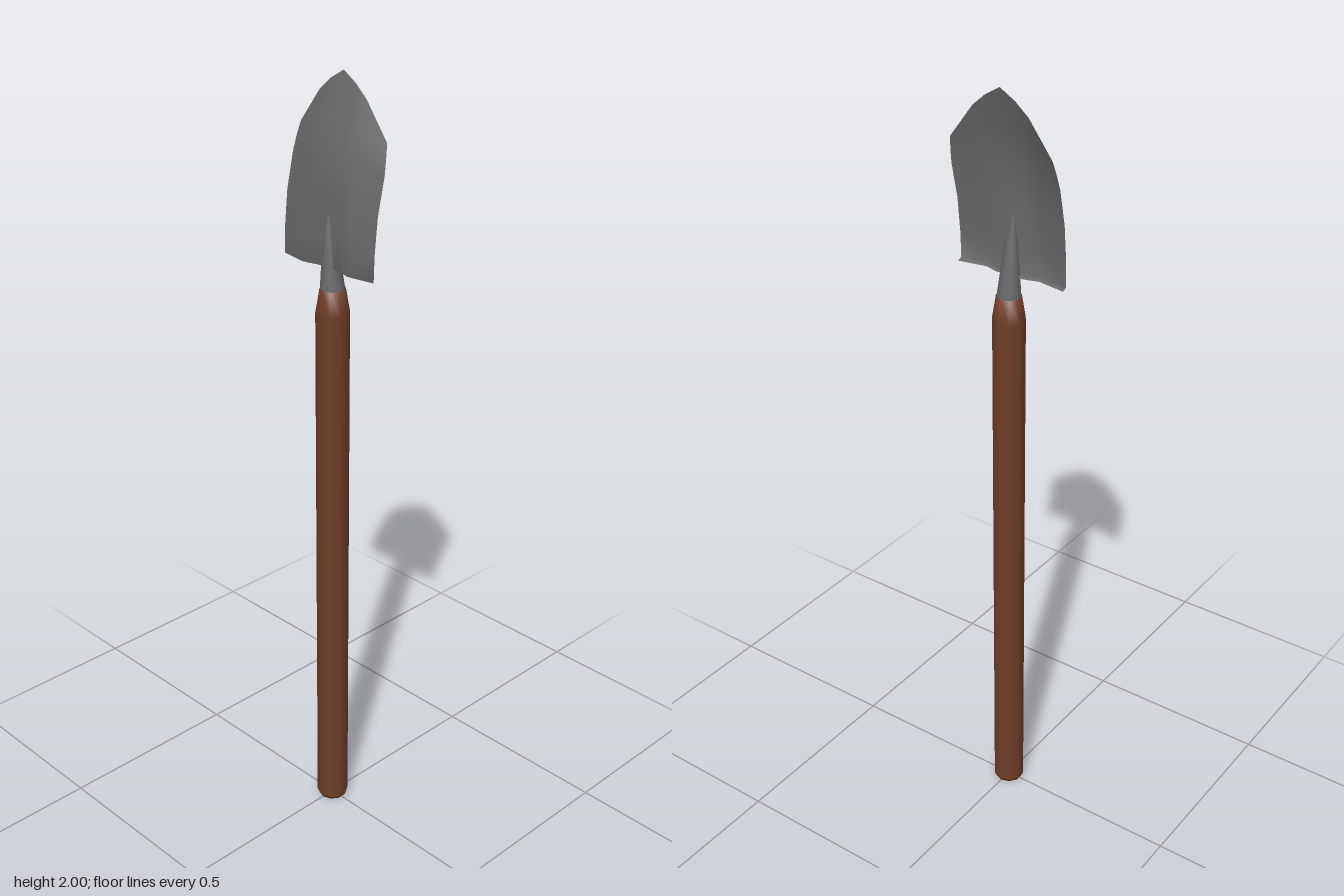
import * as THREE from 'three';

const SIDES = 10;

function lathe(name, profile, material) {
  const points = profile.map(([r, y]) => new THREE.Vector2(r, y));
  const mesh = new THREE.Mesh(new THREE.LatheGeometry(points, SIDES), material);
  mesh.name = name;
  return mesh;
}

// Curved sheet: rows run from the folded foot rest up to the pointed tip.
function bladeGeometry() {
  // x, y and z of each half row, from the centre line to the edge
  const half = [0, 0.04, 0.076, 0.15];
  const rows = [
    { y: [1.54, 1.54, 1.54, 1.54], z: [0.003, 0.005, 0.015, 0.002] },
    { y: [1.546, 1.546, 1.546, 1.546], z: [0.015, 0.018, 0.028, 0.015] },
    { y: [1.61, 1.61, 1.61, 1.61], z: [0.015, 0.018, 0.024, 0.013] },
    { y: [1.7, 1.7, 1.7, 1.7], z: [0.016, 0.017, 0.018, 0.004] },
    { y: [1.8, 1.8, 1.8, 1.79], z: [0.018, 0.015, 0.007, -0.016] },
    { y: [1.9, 1.89, 1.875, 1.825], z: [-0.008, -0.009, -0.012, -0.024], edge: 0.146 },
    { y: [2, 1.976, 1.945, 1.86], z: [-0.035, -0.034, -0.033, -0.033], edge: 0.14 },
  ];
  const columns = [-3, -2, -1, 0, 1, 2, 3];
  const positions = [];
  const index = [];
  rows.forEach((row, r) => {
    columns.forEach((c, i) => {
      const k = Math.abs(c);
      const x = k === 3 && row.edge ? row.edge : half[k];
      positions.push(Math.sign(c) * x, row.y[k], row.z[k]);
      if (r > 0 && i > 0) {
        const d = r * columns.length + i;
        const b = d - columns.length;
        index.push(b - 1, b, d, b - 1, d, d - 1);
      }
    });
  });
  const geometry = new THREE.BufferGeometry();
  geometry.setAttribute('position', new THREE.Float32BufferAttribute(positions, 3));
  geometry.setIndex(index);
  geometry.computeVertexNormals();
  return geometry;
}

export function createModel() {
  const group = new THREE.Group();
  group.name = 'shovel';
  const wood = new THREE.MeshStandardMaterial({ color: 0x6f3d28 });
  const metal = new THREE.MeshStandardMaterial({ color: 0x6a6a6a, side: THREE.DoubleSide });

  // Wooden shaft with a bevelled foot and a tapered top
  group.add(lathe('handle', [
    [0, 0], [0.037, 0], [0.042, 0.012], [0.042, 1.43], [0.032, 1.49], [0, 1.49],
  ], wood));

  // Metal socket, leaning forward to meet the sheet at its tip
  const socket = lathe('socket', [
    [0.031, 1.485], [0.024, 1.55], [0.014, 1.63], [0, 1.69],
  ], metal);
  const p = socket.geometry.attributes.position;
  for (let i = 0; i < p.count; i++) {
    p.setZ(i, p.getZ(i) + 0.015 * (p.getY(i) - 1.485) / 0.205);
  }
  group.add(socket);

  // Blade
  const blade = new THREE.Mesh(bladeGeometry(), metal);
  blade.name = 'blade';
  group.add(blade);

  return group;
}
